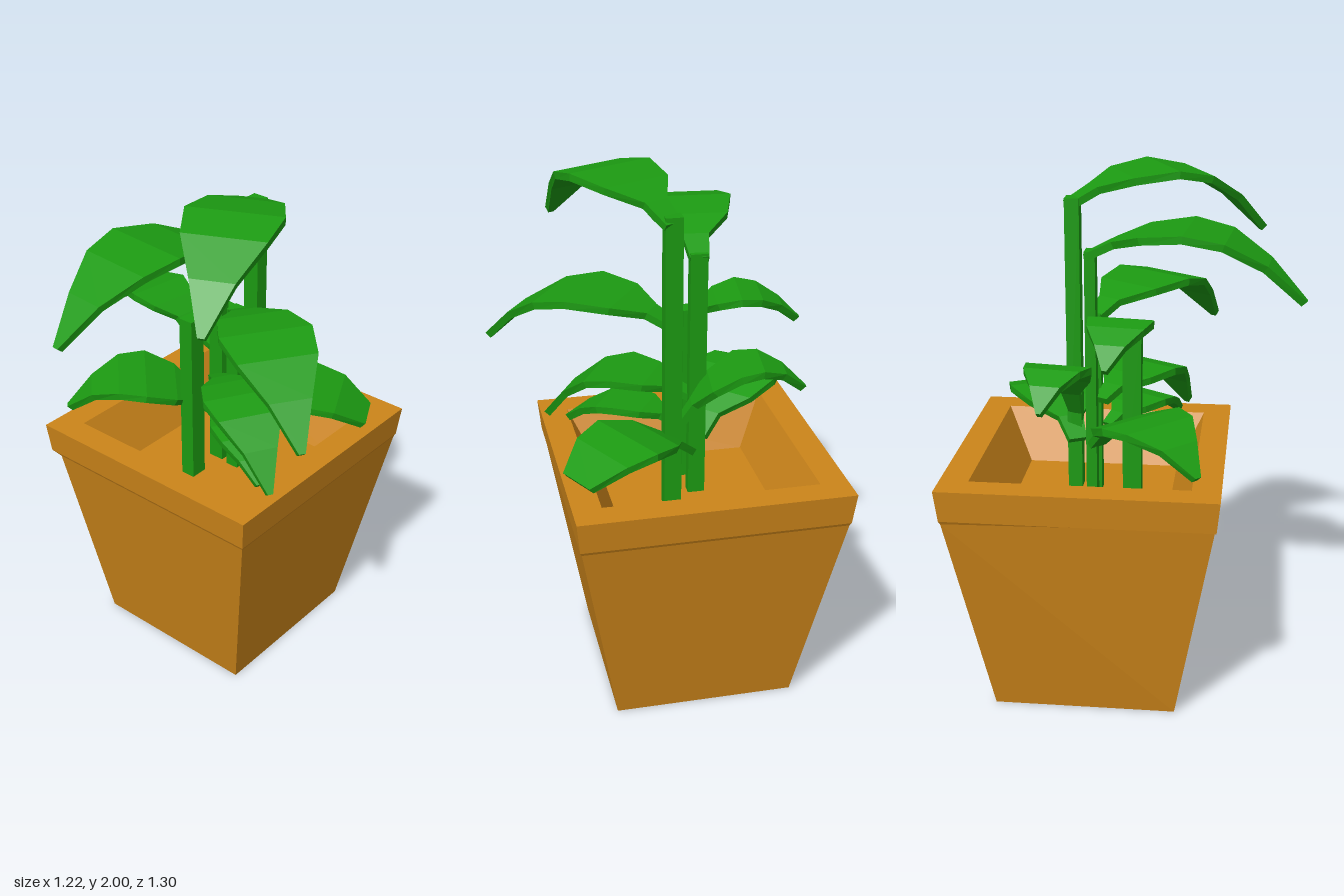
import * as THREE from 'three';

const green = new THREE.MeshStandardMaterial({ color: 0x1c9a12, flatShading: true });
const clay = new THREE.MeshStandardMaterial({ color: 0xcc851a, flatShading: true });

// Skin a row of four-cornered rings and close both ends
function loft(rings) {
  const index = [];
  const last = (rings.length - 1) * 4;
  for (let i = 0; i < last; i += 4) {
    for (let k = 0; k < 4; k++) {
      const n = (k + 1) % 4;
      index.push(i + k, i + 4 + k, i + 4 + n, i + k, i + 4 + n, i + n);
    }
  }
  index.push(0, 1, 2, 0, 2, 3, last, last + 2, last + 1, last, last + 3, last + 2);
  const g = new THREE.BufferGeometry();
  g.setAttribute('position', new THREE.Float32BufferAttribute(rings.flat(2), 3));
  g.setIndex(index);
  const flat = g.toNonIndexed();
  flat.computeVertexNormals();
  return flat;
}

// Horizontal square around the pot's axis, half its width h, at height y
const square = (h, y) => [[-1, -1], [1, -1], [1, 1], [-1, 1]].map(([sx, sz]) => [-0.1 + sx * h, y, -0.14 + sz * h]);

// Relative half width of a leaf along its length: narrow stalk, broad middle, pointed tip
const outline = [[0, 0.2], [0.13, 0.28], [0.27, 0.78], [0.47, 1], [0.65, 0.85], [0.83, 0.45], [1, 0.07]];

// Flat blade that arches from its base up to a peak and droops to its tip
function leafGeometry({ base, tip, heights, peakAt, width, stations = outline.length }) {
  const [baseY, peakY, tipY] = heights;
  const thick = 0.028;
  const start = new THREE.Vector2(...base);
  const along = new THREE.Vector2(...tip).sub(start);
  const length = along.length();
  along.normalize();
  const height = (t) => {
    const s = t < peakAt ? (peakAt - t) / peakAt : (t - peakAt) / (1 - peakAt);
    return peakY - (peakY - (t < peakAt ? baseY : tipY)) * s * s;
  };
  return loft(outline.slice(0, stations).map(([t, relative]) => {
    const slope = new THREE.Vector2(length * 0.02, height(t + 0.01) - height(t - 0.01)).normalize();
    const corner = (side, low) => {
      const d = t * length + low * slope.y * thick;
      const w = side * width * relative;
      return [
        start.x + along.x * d - along.y * w,
        height(t) - low * slope.x * thick,
        start.y + along.y * d + along.x * w,
      ];
    };
    return [corner(1, 0), corner(-1, 0), corner(-1, 1), corner(1, 1)];
  }));
}

export function createModel() {
  const root = new THREE.Group();
  root.name = 'pottedPlant';
  const add = (name, geometry, material) => {
    const mesh = new THREE.Mesh(geometry, material);
    mesh.name = name;
    root.add(mesh);
    return mesh;
  };

  // Tapered square pot with a rim and a sunken floor; one front corner is pulled in
  const bodyTop = square(0.493, 0.822);
  bodyTop[3][0] += 0.04;
  add('pot', loft([
    square(0.347, 0), bodyTop, square(0.499, 0.834),
    square(0.511, 0.955), square(0.404, 0.955), square(0.302, 0.755),
  ]), clay);

  // Upright stems, rooted just below the floor of the pot
  const root0 = 0.74;
  const addStem = (name, x, z, top, width, depth) => {
    const mesh = add(name, new THREE.BoxGeometry(width, top - root0, depth), green);
    mesh.position.set(x, (top + root0) / 2, z);
  };
  addStem('frontStem', -0.14, 0.015, 1.46, 0.06, 0.07);
  addStem('middleStem', -0.135, -0.14, 1.73, 0.065, 0.04);
  addStem('innerStem', -0.045, -0.14, 1.47, 0.055, 0.055);
  addStem('tallStem', -0.022, -0.22, 1.9, 0.065, 0.055);

  // Leaves: base and tip as x, z; heights of base, peak and tip
  const addLeaf = (name, shape) => add(name, leafGeometry(shape), green);
  addLeaf('tallLeaf', { base: [-0.022, -0.245], tip: [0.322, 0.49], heights: [1.88, 2, 1.74], peakAt: 0.47, width: 0.178 });
  addLeaf('middleLeaf', { base: [-0.135, -0.16], tip: [-0.205, 0.65], heights: [1.72, 1.833, 1.58], peakAt: 0.47, width: 0.176 });
  addLeaf('rightLeaf', { base: [-0.06, -0.15], tip: [0.605, 0.295], heights: [1.46, 1.56, 1.31], peakAt: 0.45, width: 0.175 });
  addLeaf('leftLeaf', { base: [-0.115, 0.02], tip: [-0.56, -0.04], heights: [1.41, 1.53, 1.41], peakAt: 0.5, width: 0.122 });
  addLeaf('backLeftLeaf', { base: [-0.03, -0.215], tip: [-0.52, -0.28], heights: [1.08, 1.34, 1.23], peakAt: 0.6, width: 0.125 });
  addLeaf('lowLeftLeaf', { base: [-0.14, -0.13], tip: [-0.565, 0.29], heights: [0.99, 1.17, 1.03], peakAt: 0.58, width: 0.18 });
  addLeaf('lowRightLeaf', { base: [-0.13, -0.11], tip: [0.4, 0.2], heights: [1.16, 1.23, 0.99], peakAt: 0.47, width: 0.147 });
  addLeaf('lowestLeaf', { base: [-0.08, -0.09], tip: [0.32, 0.17], heights: [1.04, 1.1, 0.98], peakAt: 0.45, width: 0.11 });
  // This one ends bluntly, short of its point
  addLeaf('lowBackLeaf', { base: [-0.1, -0.2], tip: [0.477, -0.5], heights: [0.98, 1.12, 0.9], peakAt: 0.47, width: 0.175, stations: 6 });

  return root;
}
